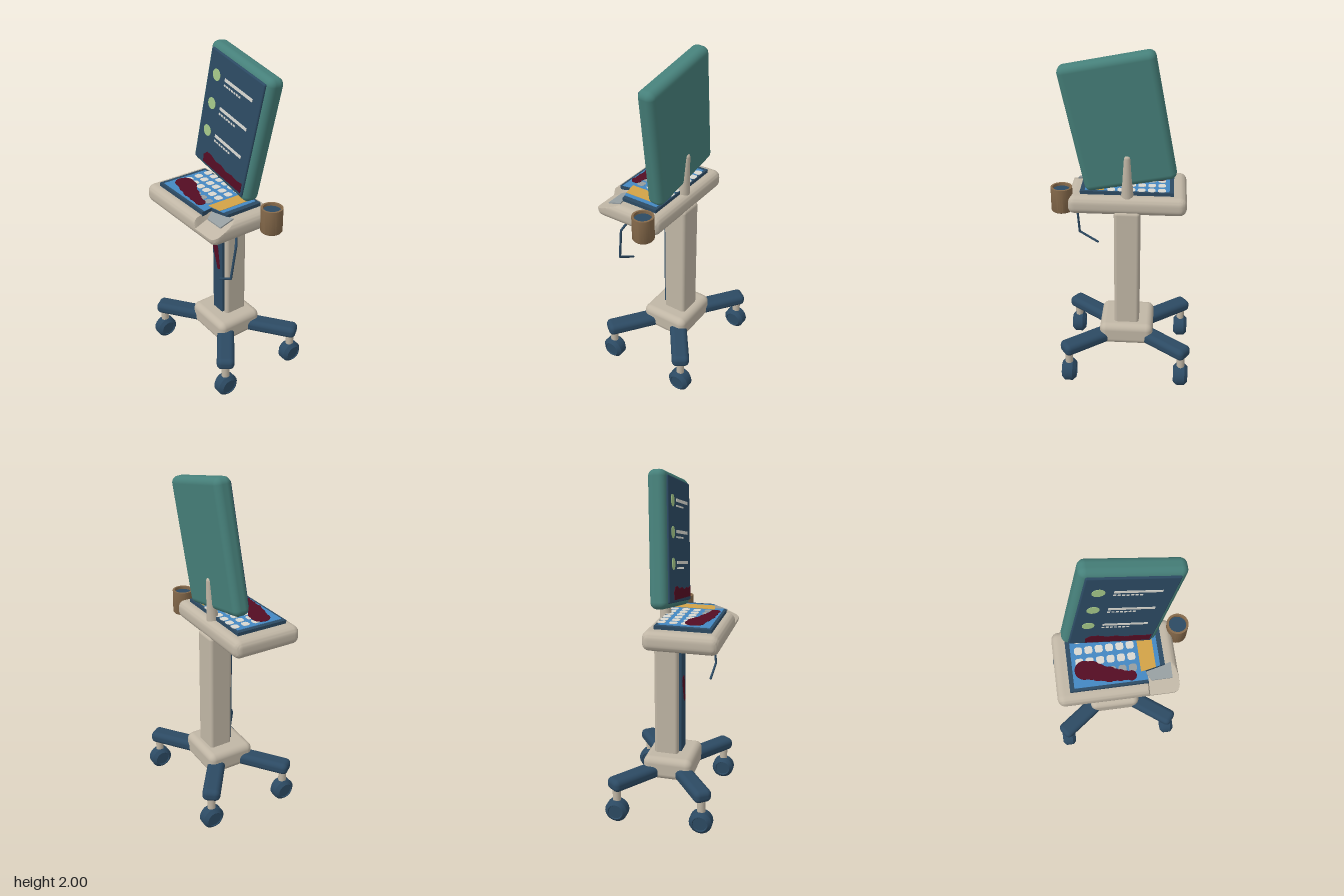
import * as THREE from 'three';
import { toCreasedNormals } from 'three/addons/utils/BufferGeometryUtils.js';
import { RoundedBoxGeometry } from 'three/addons/geometries/RoundedBoxGeometry.js';

const paint = (name, color) => {
  const m = new THREE.MeshStandardMaterial({ color });
  m.name = name;
  return m;
};

export function createModel() {
  const cream = paint('cream', 0xc0b6a5), teal = paint('teal', 0x46807a), navy = paint('navy', 0x2c4a63);
  const blue = paint('blue', 0x4488c2), yellow = paint('yellow', 0xd2a247), white = paint('offWhite', 0xd8d7d0);
  const green = paint('green', 0xa4c788), red = paint('darkRed', 0x540c23), brown = paint('brown', 0x866a4b);
  const grey = paint('grey', 0x959d9f);

  const root = new THREE.Group();
  const add = (name, geo, mat, x = 0, y = 0, z = 0, parent = root) => {
    const mesh = new THREE.Mesh(geo, mat);
    mesh.name = name;
    mesh.position.set(x, y, z);
    parent.add(mesh);
    return mesh;
  };
  const rbox = (w, h, d, r) => new RoundedBoxGeometry(w, h, d, 4, r);
  const polygon = pts => new THREE.Shape(pts.map(p => new THREE.Vector2(...p)));
  // horizontal plate from [x, z] corners
  const flat = (pts, depth) => new THREE.ExtrudeGeometry(polygon(pts.map(([x, z]) => [x, -z])),
    { depth, bevelEnabled: false }).rotateX(-Math.PI / 2);
  const disc = (r, h, n = 24) => new THREE.CylinderGeometry(r, r, h, n);
  const rod = (name, a, b, ra, rb, mat) => {
    const d = b.clone().sub(a);
    const m = add(name, new THREE.CylinderGeometry(rb, ra, d.length(), 16), mat);
    m.position.copy(a).addScaledVector(d, 0.5);
    m.quaternion.setFromUnitVectors(new THREE.Vector3(0, 1, 0), d.normalize());
  };

  // wheeled base
  add('baseBlock', rbox(0.325, 0.14, 0.3, 0.04), cream, -0.03, 0.26, -0.005);
  const wheel = toCreasedNormals(new THREE.LatheGeometry([
    [0, -0.038], [0.04, -0.038], [0.043, -0.043], [0.047, -0.043], [0.067, -0.024],
    [0.067, 0.024], [0.047, 0.043], [0.043, 0.043], [0.04, 0.038], [0, 0.038],
  ].map(p => new THREE.Vector2(...p)), 20).rotateZ(Math.PI / 2), 0.5);
  for (const sx of [-1, 1]) for (const sz of [-1, 1]) {
    const dx = sx * 0.34, dz = sz * 0.252, x = -0.03 + dx, z = -0.005 + dz;
    const leg = add('leg', rbox(0.4, 0.075, 0.105, 0.03), navy, -0.03 + dx * 0.62, 0.235, -0.005 + dz * 0.62);
    leg.rotation.y = Math.atan2(-dz, dx);
    add('casterStem', disc(0.024, 0.12, 16), cream, x, 0.16, z);
    add('casterWheel', wheel, navy, x, 0.068, z);
  }

  // column with front cover strip
  add('column', rbox(0.15, 0.78, 0.145, 0.02), cream, -0.03, 0.69, -0.032);
  add('columnCover', rbox(0.094, 0.685, 0.03, 0.006), navy, -0.028, 0.678, 0.044);
  for (let i = 0; i <= 8; i++) {
    const t = i / 8;
    add('columnStain', disc(0.025 - t * 0.01, 0.003, 16).rotateX(Math.PI / 2), red,
      -0.043 + t * 0.028, 0.79 - t * 0.13, 0.06);
  }

  // rounded tray, one front corner sliced down by a sloping plane
  let tray = new THREE.BoxGeometry(0.685, 0.11, 0.427, 72, 10, 48);
  const pos = tray.attributes.position, v = new THREE.Vector3(), core = new THREE.Vector3(), r = 0.042;
  for (let i = 0; i < pos.count; i++) {
    v.fromBufferAttribute(pos, i);
    core.set(THREE.MathUtils.clamp(v.x, r - 0.3425, 0.3425 - r), THREE.MathUtils.clamp(v.y, r - 0.055, 0.055 - r),
      THREE.MathUtils.clamp(v.z, r - 0.2135, 0.2135 - r));
    v.sub(core).normalize().multiplyScalar(r).add(core);
    const z = v.z + 0.113;
    if (v.x - 0.028 > 0.14) v.y = Math.min(v.y, 0.055 - Math.max(0, z - 0.17) * 0.4);
    pos.setXYZ(i, v.x, v.y, v.z);
  }
  tray = toCreasedNormals(tray, 0.5);
  add('tray', tray, cream, -0.028, 1.11, 0.113);

  // tray touch panel
  const panel = (x0, x1, z0, z1) => [[x0, z0], [x0, z1], [0.14, z1], [0.13, 0.207], [x1, 0.207 - (x1 - 0.13) * 0.22], [x1, z0]];
  add('panelFrame', flat(panel(-0.295, 0.242, -0.045, 0.275), 0.025), navy, 0, 1.16, 0);
  add('panelDisplay', flat(panel(-0.27, 0.215, -0.03, 0.26), 0.003), blue, 0, 1.185, 0);
  add('panelSidebar', flat([[0.105, -0.03], [0.105, 0.21], [0.13, 0.207], [0.19, 0.194], [0.19, -0.03]], 0.002), yellow, 0, 1.188, 0);
  const icon = flat([[-0.022, -0.014], [-0.022, 0.012], [-0.014, 0.022], [0.014, 0.022],
    [0.022, 0.012], [0.022, -0.014], [0.012, -0.022], [-0.012, -0.022]], 0.002);
  for (let row = 0; row < 4; row++) for (let col = 0; col < 6; col++)
    add('panelIcon', icon, row === 3 ? grey : white, -0.226 + col * 0.058, 1.188, -0.02 + row * 0.067);
  [[-0.203, 0.163, 0.055], [-0.165, 0.168, 0.055], [-0.13, 0.185, 0.05], [-0.1, 0.196, 0.043], [-0.07, 0.204, 0.045],
    [-0.04, 0.21, 0.036], [-0.01, 0.217, 0.034], [0.02, 0.222, 0.028], [0.05, 0.226, 0.029]]
    .forEach(([x, z, rad]) => add('panelStain', disc(rad, 0.003), red, x, 1.1915, z));

  // loose broken shard on the sliced corner
  const shard = flat([[0.13, 0.207], [0.16, 0.255], [0.277, 0.255], [0.277, 0.17]], 0.008);
  const sp = shard.attributes.position;
  for (let i = 0; i < sp.count; i++) sp.setY(i, sp.getY(i) - (sp.getZ(i) - 0.17) * 0.3);
  shard.computeVertexNormals();
  add('brokenShard', shard, grey, 0, 1.166, 0);

  // cup with dark contents
  const cup = new THREE.LatheGeometry([[0, 0], [0.058, 0], [0.062, 0.006], [0.062, 0.145], [0.05, 0.145], [0.05, 0.12]]
    .map(p => new THREE.Vector2(...p)), 28);
  add('cup', toCreasedNormals(cup, 0.6), brown, 0.348, 1.06, -0.037);
  add('cupContents', disc(0.051, 0.006), navy, 0.348, 1.185, -0.037);

  // hanging cable
  const cable = [[0.25, 1.065, 0.13], [0.293, 1.0, 0.163], [0.283, 0.795, 0.19], [0.17, 0.73, 0.18]]
    .map(p => new THREE.Vector3(...p));
  cable.forEach((p, i) => {
    if (i) rod('cable', cable[i - 1], p, 0.007, 0.007, navy);
    add('cableJoint', new THREE.SphereGeometry(0.007, 10, 8), navy, p.x, p.y, p.z);
  });

  // monitor support arm
  const armTop = new THREE.Vector3(-0.03, 1.4, -0.066);
  rod('supportArm', new THREE.Vector3(-0.03, 1.12, -0.045), armTop, 0.038, 0.02, cream);
  add('supportArmTip', new THREE.SphereGeometry(0.02, 16, 12), cream, ...armTop.toArray());

  // tilted monitor
  const monitor = new THREE.Group();
  monitor.name = 'monitor';
  monitor.position.set(0.018, 1.592, -0.037);
  monitor.rotation.set(-0.065, 0, -0.19);
  root.add(monitor);
  const on = (name, geo, mat, x, y, z) => add(name, geo, mat, x, y, z, monitor);
  on('monitorShell', rbox(0.53, 0.74, 0.1, 0.038), teal, 0, 0, 0);
  on('monitorScreen', rbox(0.462, 0.68, 0.03, 0.008), navy, 0, 0, 0.045);
  for (let i = 0; i < 3; i++) {
    const y = 0.213 - i * 0.17;
    on('listDot', disc(0.033, 0.003).rotateX(Math.PI / 2), green, -0.152, y, 0.061);
    on('listBar', new THREE.BoxGeometry(0.242, 0.018, 0.003), white, 0.044, y + 0.007, 0.061);
    for (let k = 0; k < 7; k++)
      on('listDash', new THREE.BoxGeometry(0.015, 0.01, 0.003), white, -0.069 + k * 0.022, y - 0.024, 0.061);
  }
  const spill = polygon([[-0.142, -0.325], [0.218, -0.318], [0.216, -0.258], [0.17, -0.268], [0.12, -0.262],
    [0.07, -0.272], [0.02, -0.258], [-0.03, -0.266], [-0.08, -0.25], [-0.12, -0.252], [-0.146, -0.28]]);
  on('screenStain', new THREE.ExtrudeGeometry(spill, { depth: 0.003, bevelEnabled: false }), red, 0, 0, 0.06);

  return root;
}
